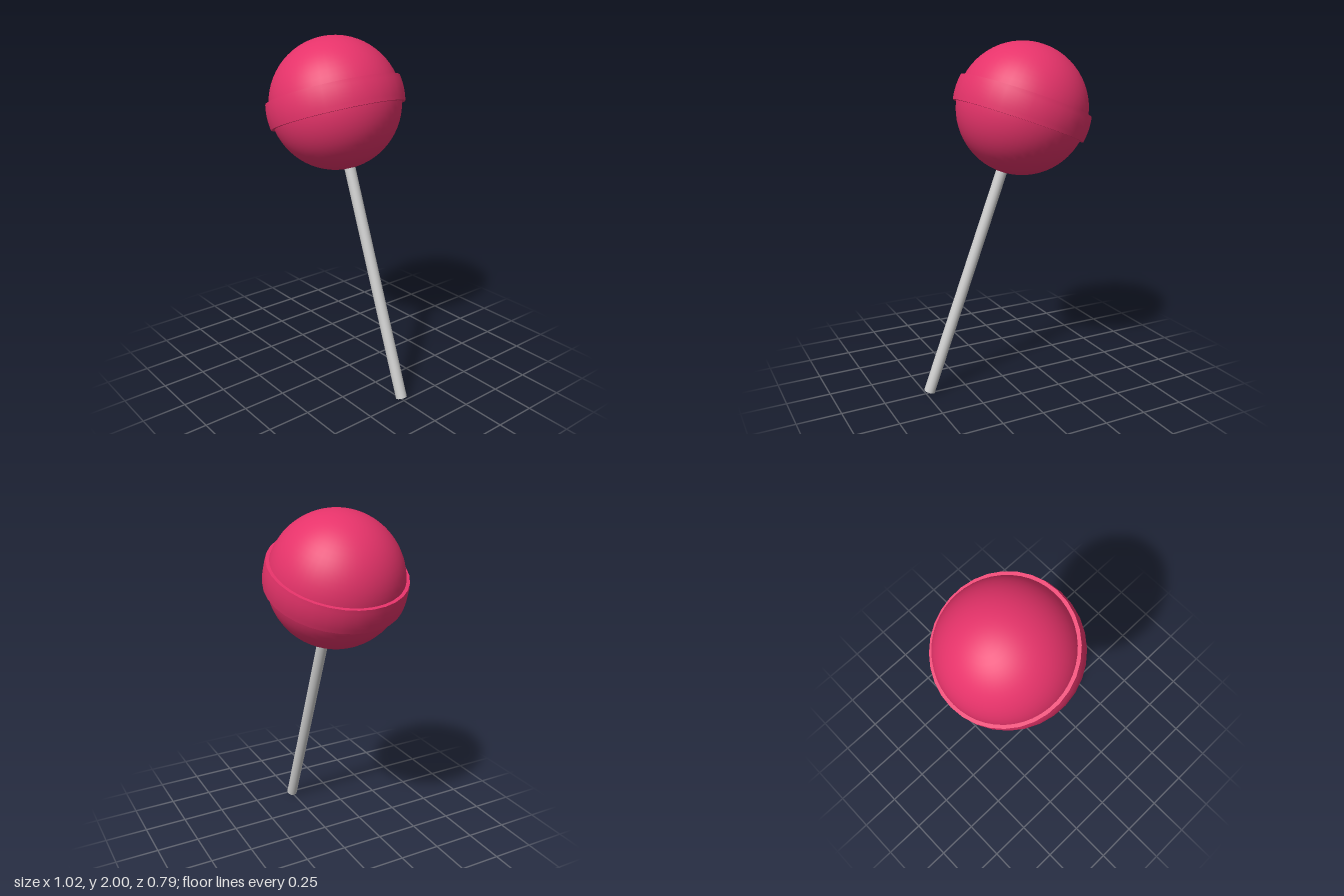
import * as THREE from 'three';
import { toCreasedNormals } from 'three/addons/utils/BufferGeometryUtils.js';

export function createModel() {
  const model = new THREE.Group();
  model.name = 'lollipop';

  const pink = new THREE.MeshStandardMaterial({ color: 0xe6336a });
  const grey = new THREE.MeshStandardMaterial({ color: 0xcccccc });

  const add = (name, geometry, material) => {
    const mesh = new THREE.Mesh(geometry, material);
    mesh.name = name;
    model.add(mesh);
    return mesh;
  };

  // Everything is built around the candy centre, then leaned over as one
  const candyRadius = 0.375;
  add('candyBall', new THREE.SphereGeometry(candyRadius, 48, 32), pink);

  // Raised band: a slice of a slightly larger sphere with flat rims
  const bandRadius = 0.394, halfHeight = 0.073, inner = 0.355;
  const profile = [new THREE.Vector2(inner, -halfHeight)];
  for (let i = 0; i <= 6; i++) {
    const y = halfHeight * (i / 3 - 1);
    profile.push(new THREE.Vector2(Math.sqrt(bandRadius ** 2 - y ** 2), y));
  }
  profile.push(new THREE.Vector2(inner, halfHeight));
  add('candyBand', toCreasedNormals(new THREE.LatheGeometry(profile, 32), 0.6), pink);

  // Stick, with its top end set into the candy
  const stickTop = -0.3, stickEnd = -1.723;
  const stick = add('stick', new THREE.CylinderGeometry(0.032, 0.032, stickTop - stickEnd, 24), grey);
  stick.position.y = (stickTop + stickEnd) / 2;

  model.rotation.z = THREE.MathUtils.degToRad(20.5);
  model.position.set(-0.125, 1.625, 0);

  const root = new THREE.Group();
  root.name = 'leaningLollipop';
  root.add(model);
  return root;
}
